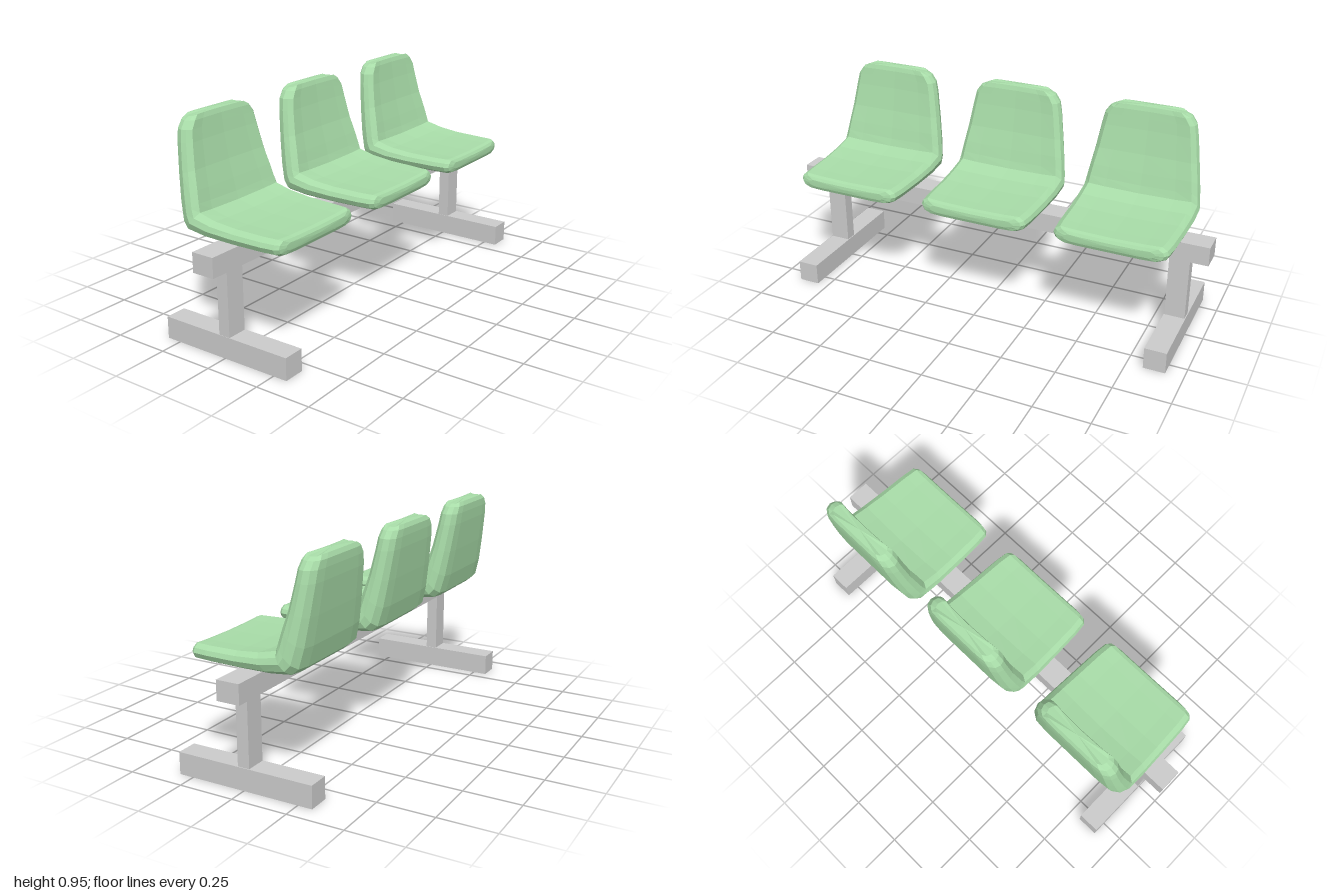
import * as THREE from 'three';

const grey = new THREE.MeshStandardMaterial({ color: 0xcccccc, flatShading: true });
const green = new THREE.MeshStandardMaterial({ color: 0xa8dca8, flatShading: true });

// Box given by its extents on each axis
function box(name, x0, x1, y0, y1, z0, z1) {
  const mesh = new THREE.Mesh(new THREE.BoxGeometry(x1 - x0, y1 - y0, z1 - z0), grey);
  mesh.position.set((x0 + x1) / 2, (y0 + y1) / 2, (z0 + z1) / 2);
  mesh.name = name;
  return mesh;
}

// Shell stations from front lip to top of back: inner z, y, outer z, y, half width
const stations = [
  [0.274, 0.533, 0.274, 0.5, 0.2],
  [0.266, 0.547, 0.268, 0.486, 0.235],
  [0.25, 0.553, 0.25, 0.48, 0.25],
  [0.19, 0.553, 0.19, 0.48, 0.257],
  [0.05, 0.556, 0.05, 0.48, 0.263],
  [-0.05, 0.566, -0.1, 0.482, 0.267],
  [-0.13, 0.585, -0.195, 0.492, 0.267],
  [-0.139, 0.62, -0.224, 0.516, 0.262],
  [-0.151, 0.67, -0.245, 0.6, 0.252],
  [-0.172, 0.745, -0.263, 0.72, 0.236],
  [-0.192, 0.85, -0.28, 0.85, 0.217],
  [-0.199, 0.9, -0.284, 0.9, 0.206],
  [-0.204, 0.932, -0.284, 0.932, 0.182],
  [-0.212, 0.945, -0.275, 0.943, 0.155],
];

// Half cross-section: fraction of half width, fraction of thickness from inner to outer
const half = [[0, 0.1], [0.6, 0.06], [0.88, 0], [0.97, 0.2], [1, 0.45], [0.96, 0.75], [0.84, 0.95], [0.6, 1], [0, 1]];
const section = [...half, ...half.slice(1, -1).reverse().map(([u, t]) => [-u, t])];

// Loft the sections along the bent seat and close both ends with fans
function shellGeometry() {
  const n = section.length, last = stations.length - 1;
  const pos = [], index = [];
  for (const [zi, yi, zo, yo, w] of stations) {
    for (const [u, t] of section) pos.push(u * w, yi + (yo - yi) * t, zi + (zo - zi) * t);
  }
  const startCap = pos.length / 3, endCap = startCap + 1;
  pos.push(0, 0.516, 0.276, 0, 0.955, -0.242);
  for (let j = 0; j < n; j++) {
    const k = (j + 1) % n;
    for (let i = 0; i < last; i++) {
      const a = i * n + j, b = i * n + k, c = a + n, d = b + n;
      index.push(a, b, c, b, d, c);
    }
    index.push(startCap, k, j, endCap, last * n + j, last * n + k);
  }
  // Keep the crown of the back level across its flat middle
  for (let j = 0; j < n; j++) {
    if (Math.abs(section[j][0]) < 0.9) pos[(last * n + j) * 3 + 1] += 0.007;
  }
  const geometry = new THREE.BufferGeometry();
  geometry.setAttribute('position', new THREE.Float32BufferAttribute(pos, 3));
  geometry.setIndex(index);
  geometry.computeVertexNormals();
  return geometry;
}

export function createModel() {
  const bench = new THREE.Group();
  bench.name = 'seatRow';

  // Long beam carrying the seats
  bench.add(box('beam', -1, 1, 0.396, 0.482, -0.052, 0.052));

  // Legs: a post standing on a floor foot
  for (const [side, x0, x1] of [['right', -0.9, -0.803], ['left', 0.823, 0.92]]) {
    const leg = new THREE.Group();
    leg.name = side + 'Leg';
    leg.add(box('post', x0 + 0.002, x1 - 0.004, 0.098, 0.398, -0.027, 0.027));
    leg.add(box('foot', x0, x1, 0, 0.098, -0.315, 0.315));
    bench.add(leg);
  }

  // Three moulded seats
  const shell = shellGeometry();
  [['right', -0.632], ['middle', 0], ['left', 0.628]].forEach(([side, x]) => {
    const seat = new THREE.Mesh(shell, green);
    seat.name = side + 'Seat';
    seat.position.x = x;
    bench.add(seat);
  });
  return bench;
}
